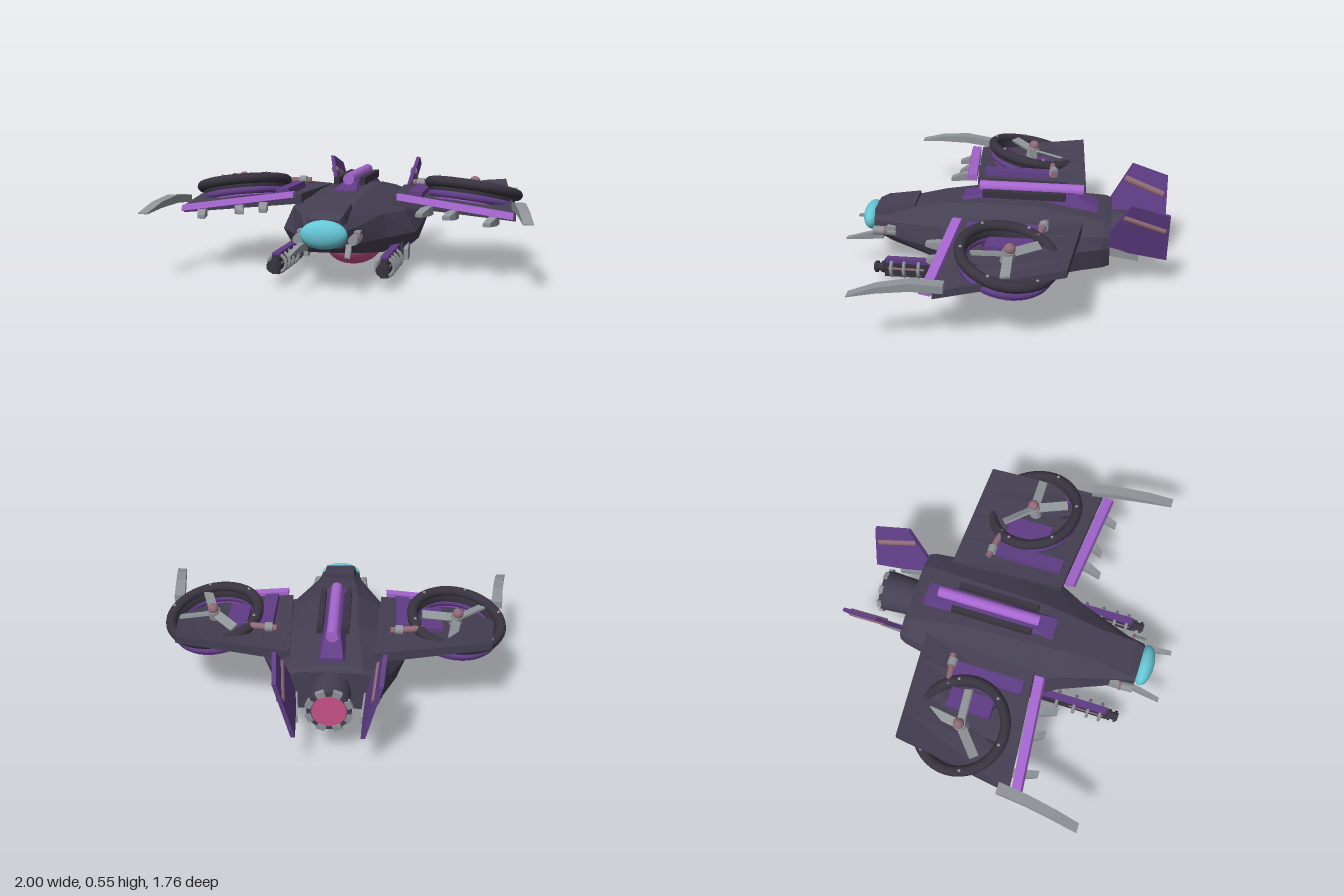
import * as THREE from 'three';

const mat = (name, color) => Object.assign(new THREE.MeshStandardMaterial({ color }), { name });
const HULL = mat('dark hull', 0x453f52);
const DARK = mat('black rubber', 0x38333f);
const PURPLE = mat('deep purple', 0x5f3d85);
const LILAC = mat('light purple', 0xa566cf);
const GREY = mat('steel grey', 0x8f9499);
const MAUVE = mat('mauve metal', 0x8f6a76);
const CYAN = mat('cyan glass', 0x66c6d4);
const PINK = mat('pink glow', 0xcc528c);

function add(parent, name, geo, material, pos = [0, 0, 0], rot = [0, 0, 0]) {
  const m = new THREE.Mesh(geo, material);
  m.name = name;
  m.position.set(...pos);
  m.rotation.set(...rot);
  parent.add(m);
  return m;
}
const box = (x, y, z) => new THREE.BoxGeometry(x, y, z);
const cyl = (r1, r2, h, n = 16) => new THREE.CylinderGeometry(r1, r2, h, n);

// Cylinder between two points
function rod(parent, name, a, b, r, material, n = 10) {
  const p = new THREE.Vector3(...a), q = new THREE.Vector3(...b);
  const m = add(parent, name, cyl(r, r, p.distanceTo(q), n), material);
  m.position.copy(p).add(q).multiplyScalar(0.5);
  m.quaternion.setFromUnitVectors(new THREE.Vector3(0, 1, 0), q.sub(p).normalize());
}

// Flat-shaded skin through cross-sections, closed at both ends
function loft(sections) {
  const v = [], n = sections[0].length, last = sections[sections.length - 1];
  const tri = (...p) => p.forEach(c => v.push(...c));
  for (let s = 0; s + 1 < sections.length; s++) {
    const a = sections[s], b = sections[s + 1];
    for (let i = 0; i < n; i++) {
      const j = (i + 1) % n;
      tri(a[i], a[j], b[j]);
      tri(a[i], b[j], b[i]);
    }
  }
  for (let i = 1; i + 1 < n; i++) {
    tri(sections[0][0], sections[0][i + 1], sections[0][i]);
    tri(last[0], last[i], last[i + 1]);
  }
  const g = new THREE.BufferGeometry();
  g.setAttribute('position', new THREE.Float32BufferAttribute(v, 3));
  g.computeVertexNormals();
  return g;
}
// Rectangular section facing +z
const rect = (x, y, z, w, h) => [[x - w, y - h, z], [x + w, y - h, z], [x + w, y + h, z], [x - w, y + h, z]];
// Trapezoid section facing +z
const trap = (z, wb, yb, wt, yt) => [[-wb, yb, z], [wb, yb, z], [wt, yt, z], [-wt, yt, z]];

// Mirrored copy across x with triangles turned the right way round
function mirrored(group) {
  const out = new THREE.Group();
  out.name = 'rightSide';
  group.updateMatrixWorld(true);
  group.traverse(o => {
    if (!o.isMesh) return;
    const g = o.geometry.index ? o.geometry.toNonIndexed() : o.geometry.clone();
    g.applyMatrix4(o.matrixWorld).scale(-1, 1, 1);
    for (const t of [g.attributes.position, g.attributes.normal]) {
      for (let i = 0; i < t.count; i += 3) {
        const p = [t.getX(i + 1), t.getY(i + 1), t.getZ(i + 1)];
        t.setXYZ(i + 1, t.getX(i + 2), t.getY(i + 2), t.getZ(i + 2));
        t.setXYZ(i + 2, ...p);
      }
    }
    add(out, o.name, g, o.material);
  });
  return out;
}

function buildFan(bladeAngles) {
  const fan = new THREE.Group();
  fan.name = 'fan';
  fan.position.set(0.657, 0.425, -0.08);
  fan.rotation.set(-0.2, 0, -0.13);
  add(fan, 'fanRing', new THREE.TorusGeometry(0.242, 0.029, 12, 40), DARK, [0, 0, 0], [Math.PI / 2, 0, 0]);
  const wall = [[0.212, -0.06], [0.232, -0.06], [0.235, -0.01], [0.212, -0.01], [0.212, -0.06]];
  add(fan, 'fanDuct', new THREE.LatheGeometry(wall.map(p => new THREE.Vector2(...p)), 40), DARK);
  add(fan, 'lowerRing', new THREE.TorusGeometry(0.225, 0.021, 10, 40), PURPLE, [0, -0.066, 0], [Math.PI / 2, 0, 0]);
  add(fan, 'ductTrim', new THREE.TorusGeometry(0.222, 0.011, 8, 40), LILAC, [0, -0.086, 0], [Math.PI / 2, 0, 0]);
  add(fan, 'hub', new THREE.SphereGeometry(0.03, 16, 12), MAUVE, [0, 0.04, 0]);
  add(fan, 'hubShaft', cyl(0.034, 0.036, 0.12), GREY, [0, -0.03, 0]);
  for (const a of bladeAngles)
    add(fan, 'blade', box(0.17, 0.012, 0.05), GREY, [0.105 * Math.cos(a), 0.01, -0.105 * Math.sin(a)], [0.35, a, 0, 'YXZ']);
  for (let i = 0; i < 6; i++) {
    const a = i * Math.PI / 3 + 0.3, c = Math.cos(a), s = Math.sin(a);
    rod(fan, 'spoke', [0, -0.08, 0], [0.22 * c, -0.08, 0.22 * s], 0.007, DARK, 6);
    add(fan, 'ringBolt', new THREE.SphereGeometry(0.009, 8, 6), GREY, [0.242 * c, 0.027, 0.242 * s]);
  }
  return fan;
}

function buildGun() {
  const gun = new THREE.Group();
  gun.name = 'gun';
  gun.position.set(0.277, 0.1, 0);
  add(gun, 'gunBody', box(0.036, 0.096, 0.48), DARK, [0, 0, 0.4]);
  add(gun, 'gunTop', box(0.038, 0.024, 0.42), PURPLE, [0, 0.047, 0.42]);
  for (const z of [0.35, 0.45, 0.53, 0.6])
    add(gun, 'gunBand', new THREE.TorusGeometry(0.046, 0.01, 6, 16), GREY, [0, 0, z]);
  for (const s of [-1, 1]) {
    rod(gun, 'gunRail', [s * 0.016, 0, 0.42], [s * 0.016, 0, 0.62], 0.008, MAUVE);
    add(gun, 'mountClamp', loft([rect(s * 0.04, 0.02, 0.1, 0.014, 0.04), rect(s * 0.04, 0.015, 0.14, 0.014, 0.055), rect(s * 0.04, -0.01, 0.175, 0.014, 0.03)]), GREY);
  }
  add(gun, 'barrel', cyl(0.022, 0.022, 0.08), DARK, [0, 0, 0.66], [Math.PI / 2, 0, 0]);
  for (const z of [0.65, 0.685]) add(gun, 'muzzleRing', cyl(0.032, 0.032, 0.015), DARK, [0, 0, z], [Math.PI / 2, 0, 0]);
  add(gun, 'gunMount', box(0.06, 0.12, 0.1), HULL, [0, 0.025, 0.16]);
  return gun;
}

function buildSide(bladeAngles) {
  const side = new THREE.Group();
  side.name = 'leftSide';
  // Wing: the leading edge droops to the tip while the trailing edge rises
  const lerp = THREE.MathUtils.lerp;
  const ribs = [0, 0.25, 0.5, 0.75, 1].map(k => {
    const xb = lerp(0.22, 0.82, k), xf = lerp(0.25, 0.902, k);
    const zb = lerp(-0.425, -0.38, k), zf = lerp(0.2, 0.26, k);
    const yb = lerp(0.4, 0.452, k), yf = lerp(0.41, 0.338, k), t = lerp(0.055, 0.04, k);
    return [[xb, yb, zb], [xf, yf, zf], [xf, yf - t, zf], [xb, yb - t, zb]];
  });
  add(side, 'wing', loft(ribs), HULL);
  add(side, 'leadingEdge', loft([[0.28, 0.425, 0.24], [0.89, 0.345, 0.3]].map(([x, y, z]) =>
    [[x, y, z - 0.03], [x, y, z + 0.02], [x, y - 0.03, z + 0.03], [x, y - 0.04, z - 0.03]])), LILAC);
  for (const x of [0.45, 0.585, 0.795]) {
    const y = 0.342 - (x - 0.45) * 0.12;
    add(side, 'edgeFin', loft([rect(x, y, 0.24, 0.022, 0.022), rect(x - 0.013, y, 0.31, 0.023, 0.022), rect(x - 0.036, y - 0.008, x === 0.585 ? 0.35 : 0.38, 0.019, 0.01)]), GREY);
  }
  add(side, 'wingTipBlade', loft([rect(0.905, 0.37, 0.2, 0.03, 0.02), rect(0.925, 0.385, 0.36, 0.028, 0.022),
    rect(0.95, 0.372, 0.52, 0.027, 0.016), rect(0.974, 0.343, 0.655, 0.026, 0.003)]), GREY);
  // Fan and its supports
  side.add(buildFan(bladeAngles));
  add(side, 'fanBracket', box(0.11, 0.05, 0.24), PURPLE, [0.525, 0.4, -0.07]);
  add(side, 'wingRootBlock', box(0.075, 0.06, 0.38), PURPLE, [0.365, 0.4, -0.02], [0, 0, -0.1]);
  rod(side, 'fanHinge', [0.3, 0.435, -0.24], [0.47, 0.435, -0.21], 0.018, MAUVE);
  add(side, 'hingeCollar', cyl(0.026, 0.026, 0.04), GREY, [0.345, 0.435, -0.23], [0, 0, Math.PI / 2]);
  side.add(buildGun());
  // Canted tail fin
  const fin = [[0.545, -0.68], [0.33, -0.55], [0.24, -0.57], [0.185, -0.88], [0.485, -0.88]];
  const lean = y => 0.17 + 0.28 * (y - 0.185);
  add(side, 'tailFin', loft([-0.011, 0.011].map(d => fin.map(([y, z]) => [lean(y) + d, y, z]))), PURPLE);
  rod(side, 'finStripe', [lean(0.465), 0.465, -0.64], [lean(0.385), 0.385, -0.86], 0.022, MAUVE, 8);
  add(side, 'tailStrut', loft([rect(0.17, 0.19, -0.73, 0.014, 0.02), rect(0.19, 0.24, -0.54, 0.018, 0.025)]), GREY);
  // Nose pods and prongs
  rod(side, 'nosePod', [0.14, 0.25, 0.6], [0.138, 0.25, 0.73], 0.025, GREY);
  add(side, 'podBand', cyl(0.028, 0.028, 0.015), MAUVE, [0.139, 0.25, 0.66], [Math.PI / 2, 0, 0]);
  add(side, 'nosePodCap', box(0.04, 0.03, 0.05), GREY, [0.14, 0.27, 0.625]);
  add(side, 'noseProng', loft([rect(0.11, 0.215, 0.68, 0.015, 0.022), rect(0.125, 0.208, 0.77, 0.014, 0.018), rect(0.143, 0.195, 0.885, 0.013, 0.003)]), GREY);
  return side;
}

export function createModel() {
  const model = new THREE.Group();
  model.name = 'aircraft';
  // Hull: half-widths and heights of top, shoulder, side and belly at each z
  const hull = [
    [-0.575, 0.16, 0.37, 0.25, 0.335, 0.255, 0.27, 0.22, 0.158],
    [-0.54, 0.16, 0.385, 0.262, 0.345, 0.275, 0.28, 0.235, 0.15],
    [-0.42, 0.15, 0.405, 0.275, 0.345, 0.3, 0.27, 0.265, 0.14],
    [-0.2, 0.13, 0.44, 0.34, 0.34, 0.39, 0.255, 0.34, 0.122],
    [0.15, 0.12, 0.44, 0.31, 0.33, 0.365, 0.21, 0.31, 0.115],
    [0.35, 0.1, 0.415, 0.22, 0.33, 0.25, 0.21, 0.21, 0.13],
    [0.63, 0.08, 0.35, 0.13, 0.3, 0.14, 0.22, 0.1, 0.17],
    [0.73, 0.07, 0.335, 0.11, 0.3, 0.115, 0.24, 0.08, 0.21],
  ];
  add(model, 'hull', loft(hull.map(([z, a, ay, b, by, c, cy, d, dy]) => [
    [d, dy, z], [c, cy, z], [b, by, z], [a, ay, z], [-a, ay, z], [-b, by, z], [-c, cy, z], [-d, dy, z]])), HULL);
  add(model, 'cockpitHood', loft([trap(0.5, 0.1, 0.34, 0.085, 0.4), trap(0.68, 0.1, 0.3, 0.085, 0.372), trap(0.73, 0.1, 0.29, 0.075, 0.35)]), HULL);
  add(model, 'noseCanopy', new THREE.SphereGeometry(1, 32, 20), CYAN, [0, 0.28, 0.757]).scale.set(0.118, 0.072, 0.052);
  add(model, 'bellyDome', new THREE.SphereGeometry(1, 32, 20), PINK, [0, 0.11, -0.01]).scale.set(0.155, 0.11, 0.2);
  add(model, 'bellyRim', new THREE.TorusGeometry(1, 0.07, 8, 40), DARK, [0, 0.115, -0.01], [Math.PI / 2, 0, 0]).scale.set(0.152, 0.197, 0.15);
  // Dorsal spine with tube and side bars
  add(model, 'spineBase', loft([trap(-0.5, 0.075, 0.37, 0.06, 0.41), trap(-0.36, 0.075, 0.4, 0.04, 0.485),
    trap(0.1, 0.075, 0.42, 0.04, 0.47), trap(0.24, 0.075, 0.41, 0.06, 0.437)]), PURPLE);
  rod(model, 'spineTube', [0, 0.488, -0.42], [0, 0.488, 0.15], 0.031, LILAC, 16);
  for (const s of [-1, 1]) add(model, 'spineBar', box(0.03, 0.04, 0.45), DARK, [s * 0.07, 0.475, -0.1]);
  // Tail engine
  const engine = new THREE.Group();
  engine.name = 'engine';
  engine.position.set(0, 0.265, -0.655);
  engine.rotation.x = -Math.PI / 2 - 0.06;
  add(engine, 'engineBody', cyl(0.113, 0.1, 0.2, 20), HULL);
  add(engine, 'exhaustGlow', cyl(0.088, 0.088, 0.012, 24), PINK, [0, 0.1, 0]);
  for (let i = 0; i < 8; i++) {
    const a = i * Math.PI / 4 + 0.39;
    add(engine, 'exhaustPetal', box(0.03, 0.024, 0.045), GREY, [0.106 * Math.cos(a), 0.095, 0.106 * Math.sin(a)], [0, -a, 0]);
  }
  model.add(engine);
  // The two fans are stopped at different angles
  model.add(buildSide([0.05, 2.3, -1.25]), mirrored(buildSide([-0.7, 3.1, 1.75])));
  return model;
}
